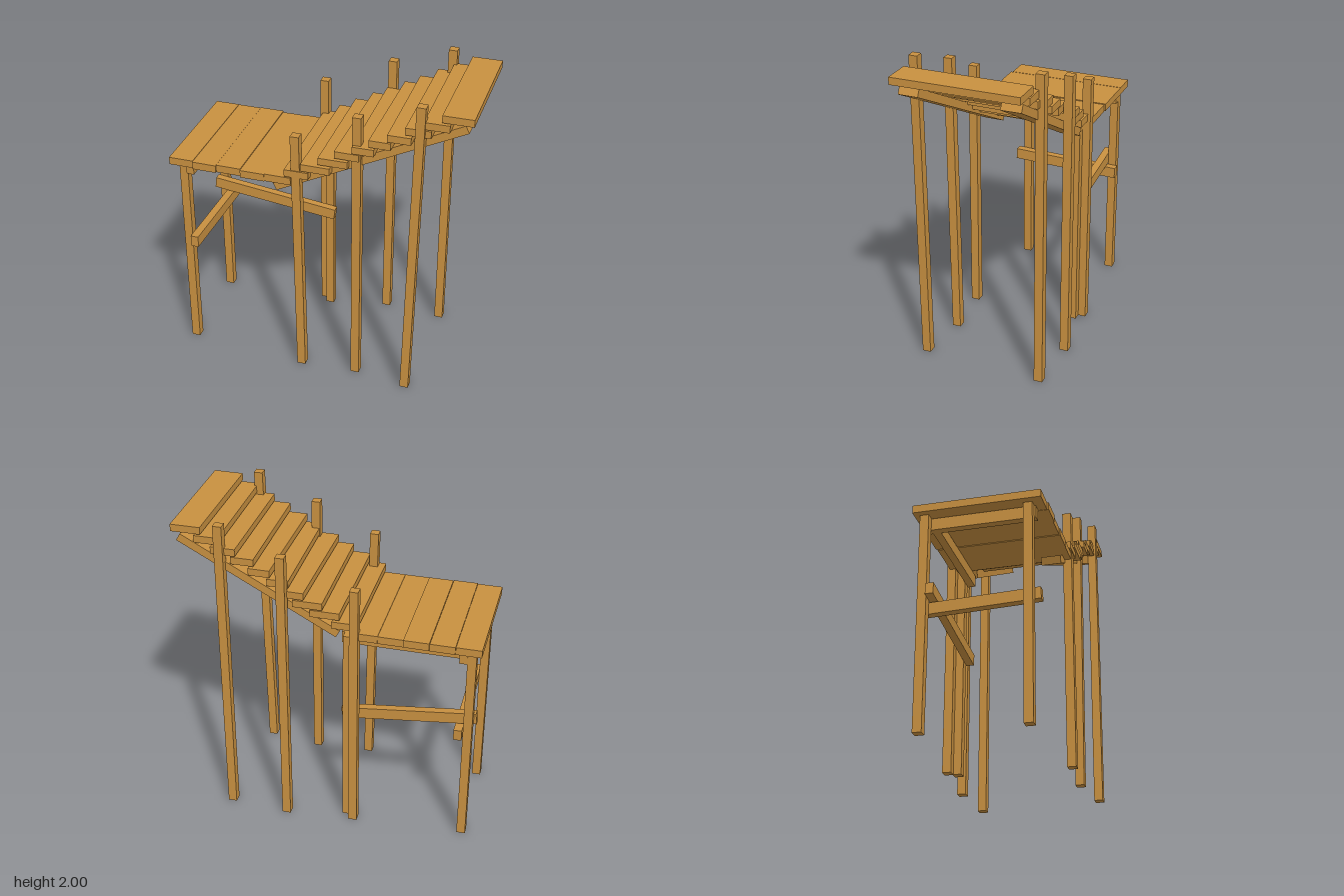
import * as THREE from 'three';

const YAW = THREE.MathUtils.degToRad(13);
const wood = new THREE.MeshStandardMaterial({ color: 0xc89040, flatShading: true });

// Straight timber from a to b; w is its horizontal width, h its other thickness
function timber(parent, name, a, b, w, h) {
  const p = new THREE.Vector3(...a), q = new THREE.Vector3(...b);
  const dir = q.clone().sub(p);
  const mesh = new THREE.Mesh(new THREE.BoxGeometry(w, h, dir.length()), wood);
  dir.normalize();
  const ref = Math.abs(dir.y) > 0.9 ? new THREE.Vector3(0, 0, 1) : new THREE.Vector3(0, 1, 0);
  const side = ref.cross(dir).normalize();
  const up = dir.clone().cross(side);
  mesh.quaternion.setFromRotationMatrix(new THREE.Matrix4().makeBasis(side, up, dir));
  mesh.position.copy(p).add(q).multiplyScalar(0.5);
  mesh.name = name;
  parent.add(mesh);
}

// Flat board lying across the stairs: x0..x1 deep, z0..z1 long, yaw in radians
function board(parent, name, x0, x1, y, z0, z1, h, yaw = 0) {
  const mesh = new THREE.Mesh(new THREE.BoxGeometry(x1 - x0, h, z1 - z0), wood);
  mesh.position.set((x0 + x1) / 2, y, (z0 + z1) / 2);
  mesh.rotation.y = yaw;
  mesh.name = name;
  parent.add(mesh);
}

// Plan position turned into the direction of the stairs
function along(x, y, z) {
  const c = Math.cos(YAW), s = Math.sin(YAW);
  return [x * c + z * s, y, -x * s + z * c];
}

export function createModel() {
  const group = new THREE.Group();
  group.name = 'woodenStairs';
  const frame = new THREE.Group();
  frame.name = 'stairFrame';
  frame.rotation.y = -YAW;
  group.add(frame);

  // Tall stair posts: bottom x, z, top x, z, height
  const posts = [
    [-0.085, -0.41, -0.085, -0.41, 1.68],
    [0.342, -0.35, 0.342, -0.35, 1.86],
    [0.703, -0.24, 0.703, -0.24, 2.0],
    [-0.178, 0.325, -0.198, 0.322, 1.68],
    [0.172, 0.38, 0.168, 0.395, 1.86],
    [0.492, 0.505, 0.53, 0.51, 2.0],
  ];
  for (const [x0, z0, x1, z1, h] of posts) {
    timber(frame, 'stairPost', along(x0, 0, z0), along(x1, h, z1), 0.054, 0.054);
  }

  // Platform legs
  for (const [x, z] of [[-0.868, 0.288], [-0.872, -0.332], [-0.126, -0.332]]) {
    timber(frame, 'platformLeg', [x, 0, z], [x, 1.345, z], 0.054, 0.054);
  }

  // Beams under the platform and slanted lower braces
  timber(frame, 'endBeam', [-0.822, 1.307, -0.36], [-0.822, 1.307, 0.325], 0.048, 0.075);
  timber(frame, 'backBeam', [-0.8, 1.307, -0.282], [-0.08, 1.307, -0.282], 0.048, 0.075);
  timber(frame, 'endBrace', [-0.815, 0.762, -0.37], [-0.815, 0.787, 0.35], 0.05, 0.072);
  timber(frame, 'backBrace', [-0.915, 0.855, -0.282], [-0.08, 0.757, -0.282], 0.048, 0.072);

  // Platform planks: start, end, height, back end, front end
  const planks = [
    [-0.933, -0.779, 1.373, -0.395, 0.375],
    [-0.777, -0.626, 1.372, -0.395, 0.385],
    [-0.624, -0.47, 1.374, -0.397, 0.378],
    [-0.469, -0.316, 1.369, -0.388, 0.385],
    [-0.315, -0.15, 1.371, -0.39, 0.382],
  ];
  for (const [x0, x1, y, z0, z1] of planks) {
    board(frame, 'platformPlank', x0, x1, y, z0, z1, 0.048);
  }

  // Sloping stringers
  timber(frame, 'frontStringer', [-0.264, 1.293, 0.28], [0.886, 1.88, 0.292], 0.122, 0.05);
  timber(frame, 'backStringer', [-0.07, 1.362, -0.31], [0.888, 1.885, -0.322], 0.122, 0.05);

  // Treads, slightly uneven, the top one widest
  const depth = [0.15, 0.18, 0.18, 0.15, 0.13, 0.13, 0.14, 0.15, 0.15, 0.183];
  const shift = [0, 0.005, -0.004, -0.01, 0.004, 0, 0.006, -0.004, 0.003, 0];
  const skew = [0, 0, 0.006, -0.012, 0.01, -0.008, 0.008, 0, 0.005, 0];
  depth.forEach((d, i) => {
    const x = -0.187 + 0.1037 * i;
    board(frame, 'tread', x, x + d, 1.43 + 0.057 * i, -0.39 + shift[i], 0.39 + shift[i], 0.045, skew[i]);
  });

  return group;
}
